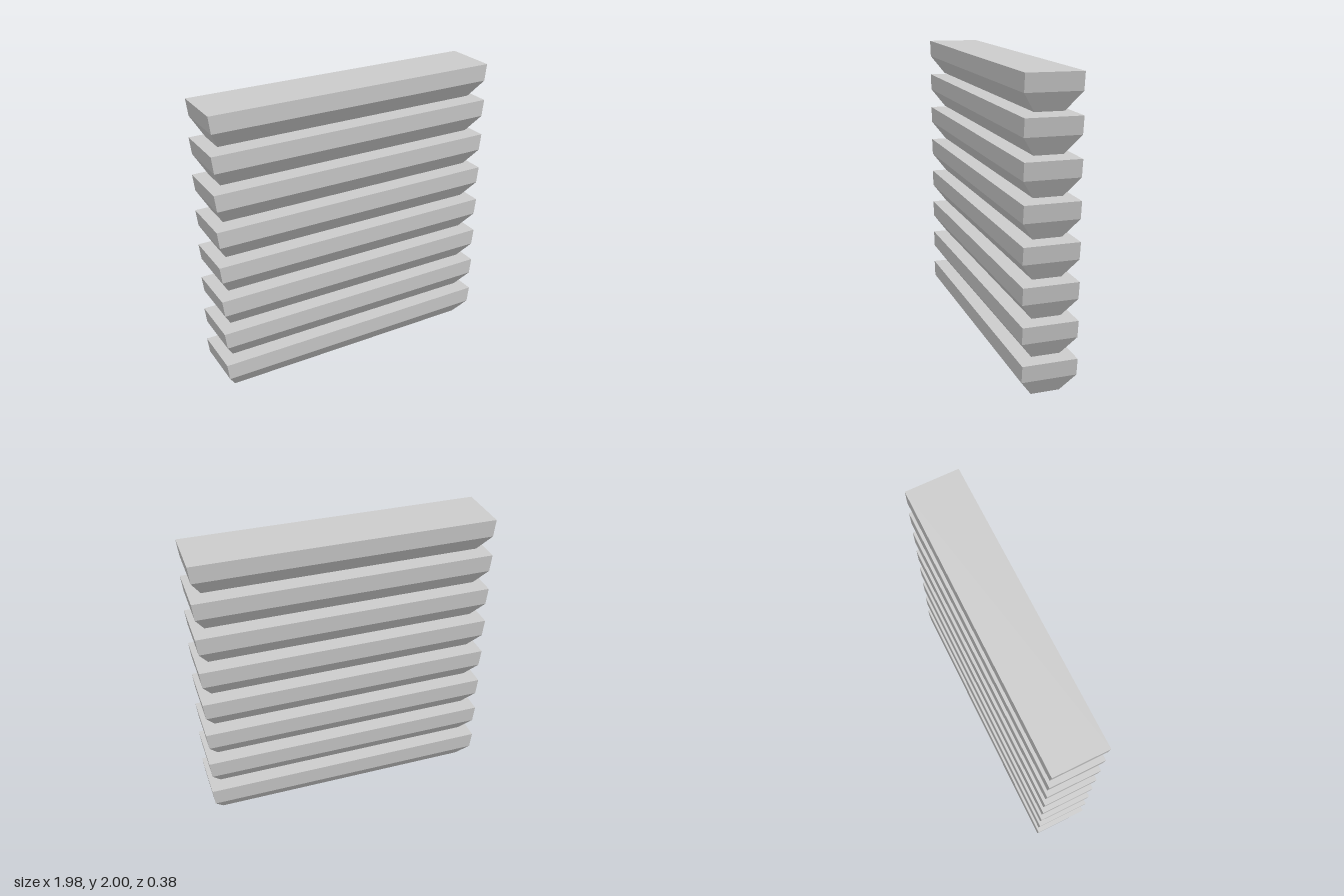
import * as THREE from 'three';

// Half length, half depth and height of each bar's three levels, bottom to top
const LEVELS = [
  { x: 0.91, z: 0.095, y: 0.005 },
  { x: 0.975, z: 0.182, y: 0.125 },
  { x: 0.988, z: 0.182, y: 0.238 },
];
const BAR_COUNT = 8;
const SPACING = 0.2513;

// A bar with an upright upper half and chamfered lower half, very slightly skewed
function barGeometry() {
  const geometry = new THREE.BoxGeometry(2, 2, 2, 1, 2, 1);
  const p = geometry.attributes.position;
  for (let i = 0; i < p.count; i++) {
    const level = LEVELS[Math.round(p.getY(i)) + 1];
    const x = p.getX(i) * level.x;
    const z = p.getZ(i) * level.z + 0.007 * x;
    p.setXYZ(i, x, level.y + 0.015 * z, z);
  }
  geometry.computeVertexNormals();
  return geometry;
}

export function createModel() {
  const group = new THREE.Group();
  group.name = 'stackedBars';
  const material = new THREE.MeshStandardMaterial({ color: 0xcccccc, flatShading: true });
  const geometry = barGeometry();

  // Evenly spaced stack of identical bars
  for (let i = 0; i < BAR_COUNT; i++) {
    const bar = new THREE.Mesh(geometry, material);
    bar.name = `bar${i + 1}`;
    bar.position.y = i * SPACING;
    group.add(bar);
  }
  return group;
}
